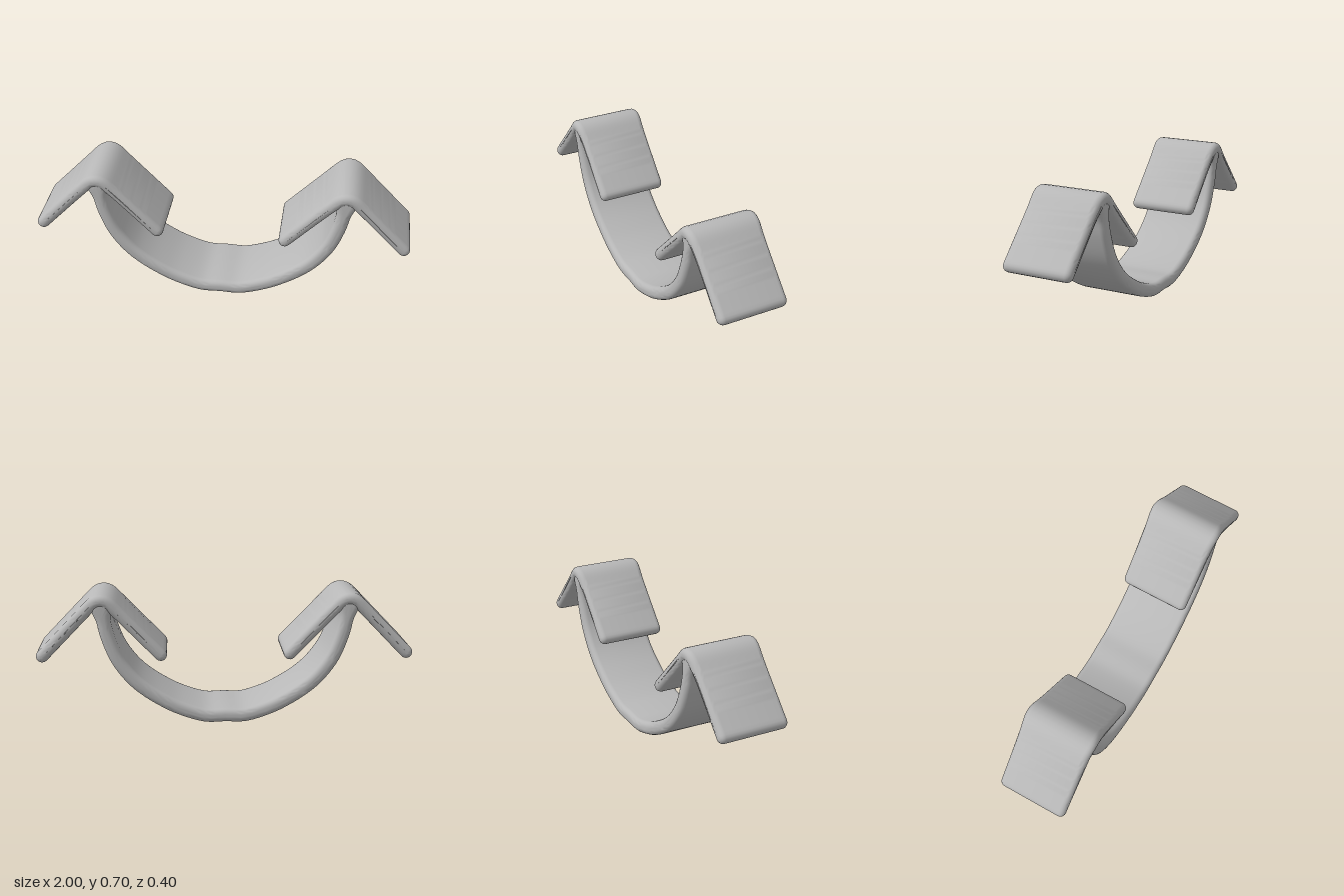
import * as THREE from 'three';
import { toCreasedNormals } from 'three/addons/utils/BufferGeometryUtils.js';

const HALF_DEPTH = 0.19;
const BEVEL = 0.03;
const V = (x, y) => new THREE.Vector2(x, y);

// Outline of a strip that follows a curve, with round ends
function stripShape(curve, samples, halfThickness) {
  const left = [], right = [], startCap = [], endCap = [];
  const capSteps = 8;
  for (let i = 0; i <= samples; i++) {
    const t = i / samples;
    const p = curve.getPoint(t), d = curve.getTangent(t), h = halfThickness(t);
    left.push(V(p.x - d.y * h, p.y + d.x * h));
    right.push(V(p.x + d.y * h, p.y - d.x * h));
    if (i === 0 || i === samples) {
      const start = Math.atan2(d.y, d.x) + (i === 0 ? Math.PI / 2 : -Math.PI / 2);
      for (let k = 1; k < capSteps; k++) {
        const a = start + (Math.PI * k) / capSteps;
        (i === 0 ? startCap : endCap).push(V(p.x + Math.cos(a) * h, p.y + Math.sin(a) * h));
      }
    }
  }
  return new THREE.Shape([...right, ...endCap, ...left.reverse(), ...startCap]);
}

// Extrude a strip across the depth with rounded edges
function stripGeometry(shape) {
  const geo = new THREE.ExtrudeGeometry(shape, {
    depth: 2 * (HALF_DEPTH - BEVEL),
    bevelEnabled: true,
    bevelThickness: BEVEL,
    bevelSize: BEVEL,
    bevelOffset: -BEVEL,
    bevelSegments: 5,
  });
  geo.translate(0, 0, -(HALF_DEPTH - BEVEL));
  return geo;
}

export function createModel() {
  const model = new THREE.Group();
  model.name = 'curvedDoubleArrow';
  const grey = new THREE.MeshStandardMaterial({ color: 0xb8b8b8 });
  grey.name = 'grey';

  // Curved band, thickening where it meets the arrowheads
  const half = [[0.11, 0.038], [0.24, 0.079], [0.34, 0.13], [0.43, 0.19],
    [0.505, 0.26], [0.575, 0.36], [0.622, 0.48], [0.642, 0.57], [0.652, 0.63]];
  const points = [
    ...half.map(([x, y]) => V(-x, y)).reverse(),
    V(0, 0.038),
    ...half.map(([x, y]) => V(x, y)),
  ];
  const bandThickness = (t) => 0.037 + 0.018 * THREE.MathUtils.smoothstep(Math.abs(t - 0.5), 0.43, 0.5);
  const bandShape = stripShape(new THREE.SplineCurve(points), 72, bandThickness);
  const band = new THREE.Mesh(toCreasedNormals(stripGeometry(bandShape), 0.8), grey);
  band.name = 'curvedBand';
  model.add(band);

  // Arrowhead: two sloping plates joined by a rounded ridge
  const path = new THREE.CurvePath();
  path.add(new THREE.LineCurve(V(-0.312, 0.375), V(-0.055, 0.642)));
  path.add(new THREE.QuadraticBezierCurve(V(-0.055, 0.642), V(0, 0.698), V(0.055, 0.642)));
  path.add(new THREE.LineCurve(V(0.055, 0.642), V(0.312, 0.375)));
  const headGeo = stripGeometry(stripShape(path, 50, () => 0.033));

  // Slight widening at the ridge
  const pos = headGeo.attributes.position;
  for (let i = 0; i < pos.count; i++) {
    const swell = 1 + 0.045 * Math.exp(-((pos.getX(i) / 0.07) ** 2));
    pos.setZ(i, pos.getZ(i) * swell);
  }
  const smoothHead = toCreasedNormals(headGeo, 0.8);
  for (const [name, side] of [['leftArrowhead', 1], ['rightArrowhead', -1]]) {
    const head = new THREE.Mesh(smoothHead, grey);
    head.name = name;
    head.position.x = side * 0.655;
    model.add(head);
  }
  return model;
}
